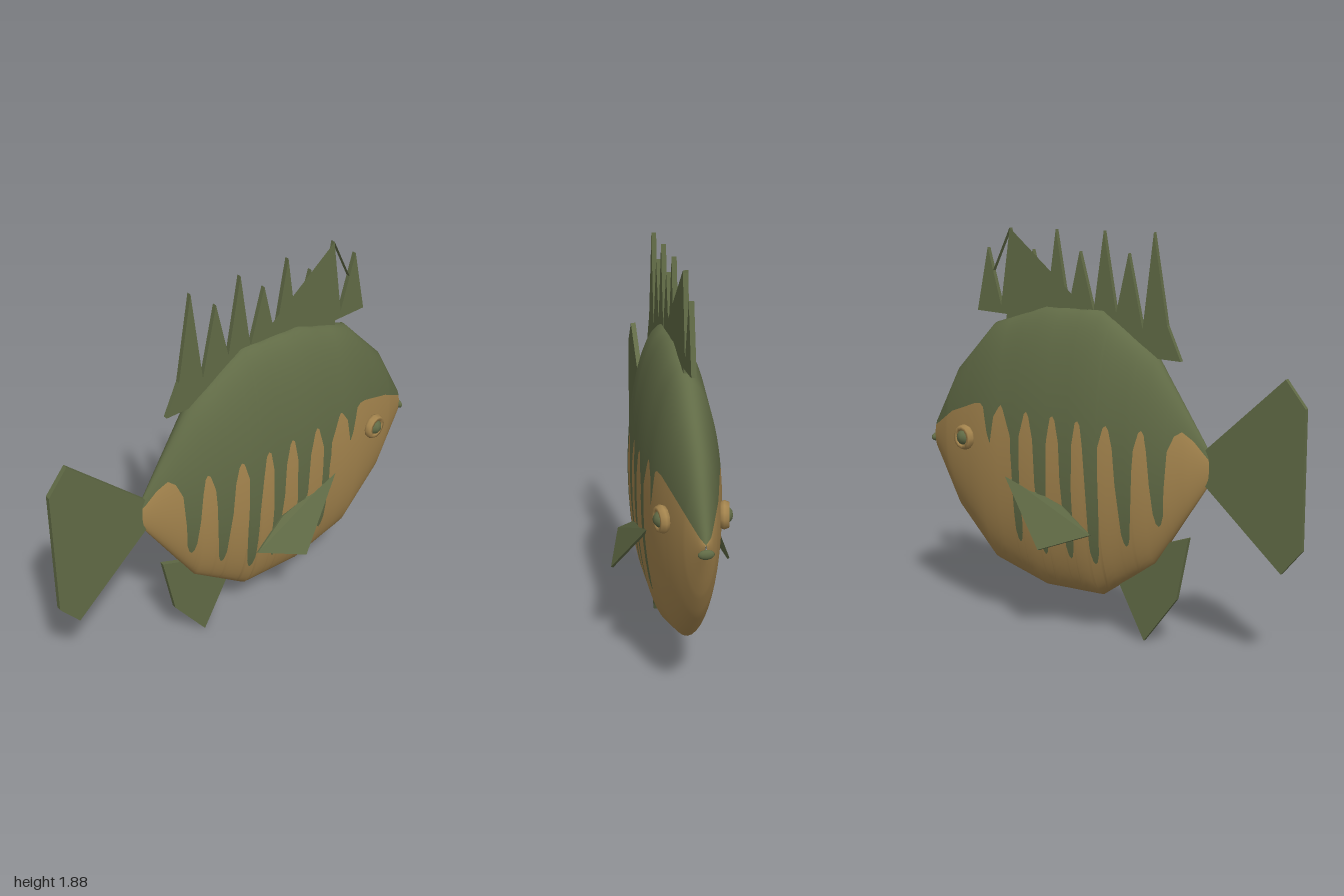
import * as THREE from 'three';

const CY = 0.86; // height of the body axis

// Body stations: z, half width, half height
const STATIONS = [
  [-0.98, 0.004, 0.02], [-0.97, 0.028, 0.075], [-0.82, 0.09, 0.35], [-0.6, 0.147, 0.58],
  [-0.31, 0.172, 0.67], [0, 0.168, 0.67], [0.28, 0.12, 0.475], [0.545, 0.016, 0.075], [0.558, 0.003, 0.03],
];

// Green stripes: z, lowest y, half width at the top; then the tan peak in front of each
const STRIPES = [
  [0.33, 0.58, 0.043, 0.262, 1.02], [0.177, 0.47, 0.05, 0.095, 1.03], [0.02, 0.365, 0.038, -0.045, 1.04],
  [-0.11, 0.375, 0.036, -0.18, 1.05], [-0.25, 0.375, 0.038, -0.325, 1.055], [-0.395, 0.415, 0.026, -0.48, 1.07],
];

function lerpTable(table, z, col) {
  if (z <= table[0][0]) return table[0][col];
  for (let i = 1; i < table.length; i++) {
    const p = table[i - 1], q = table[i];
    if (z <= q[0]) return p[col] + (q[col] - p[col]) * (z - p[0]) / (q[0] - p[0]);
  }
  return table[table.length - 1][col];
}

// Line between the green back and the tan belly, as z, y
function colourLine() {
  const line = [[0.558, 0.89], [0.53, 0.92], [0.48, 0.98], [0.43, 1.02], [0.4, 1.0]];
  for (const [z, low, w, peakZ, peakY] of STRIPES) {
    line.push([z + w, 0.93], [z + 0.021, low + 0.05], [z + 0.01, low + 0.01], [z, low],
      [z - 0.01, low + 0.015], [z - 0.019, low + 0.06], [z - w, 0.93],
      [peakZ + 0.013, peakY - 0.02], [peakZ, peakY], [peakZ - 0.013, peakY - 0.01]);
  }
  line.push([-0.525, 1.01], [-0.546, 0.88], [-0.565, 0.93], [-0.59, 1.05], [-0.61, 1.065], [-0.65, 1.06],
    [-0.82, 1.0], [-0.98, 0.9]);
  return line.reverse();
}

// A band of the body skin between two angles that depend on z
function skin(columns, range, rows) {
  const pos = [], nor = [], idx = [];
  const n = new THREE.Vector3();
  columns.forEach((z, i) => {
    const a = lerpTable(STATIONS, z, 1), b = lerpTable(STATIONS, z, 2);
    const z0 = Math.max(-0.98, z - 0.1), z1 = Math.min(0.558, z + 0.1);
    const da = (lerpTable(STATIONS, z1, 1) - lerpTable(STATIONS, z0, 1)) / (z1 - z0);
    const db = (lerpTable(STATIONS, z1, 2) - lerpTable(STATIONS, z0, 2)) / (z1 - z0);
    const [from, to] = range(z, b);
    for (let j = 0; j <= rows; j++) {
      const t = from + (to - from) * j / rows, c = Math.cos(t), s = Math.sin(t);
      pos.push(a * c, CY + b * s, z);
      n.set(c / a, s / b, -(c * c * da / a + s * s * db / b)).normalize();
      nor.push(n.x, n.y, n.z);
      if (i > 0 && j > 0) {
        const q = i * (rows + 1) + j, p = q - rows - 1;
        idx.push(p - 1, p, q - 1, p, q, q - 1);
      }
    }
  });
  const g = new THREE.BufferGeometry();
  g.setAttribute('position', new THREE.Float32BufferAttribute(pos, 3));
  g.setAttribute('normal', new THREE.Float32BufferAttribute(nor, 3));
  g.setIndex(idx);
  return g;
}

// Flat upright fin from an outline of z, y points
function uprightFin(points, thickness) {
  const shape = new THREE.Shape(points.map(([z, y]) => new THREE.Vector2(z, y)));
  return new THREE.ExtrudeGeometry(shape, { depth: thickness, bevelEnabled: false })
    .translate(0, 0, -thickness / 2).rotateY(-Math.PI / 2);
}

// Thin four-cornered side fin, given for side +1 and mirrored for -1
function sideFin(side) {
  const corners = [[0.145, 0.745, -0.47], [0.163, 0.635, -0.13], [0.205, 0.53, 0.05], [0.272, 0.442, -0.19]];
  const pos = [];
  for (const d of [0.005, -0.005]) for (const [x, y, z] of corners) pos.push(side * (x + d), y + d * 0.4, z);
  const idx = [0, 2, 1, 0, 3, 2, 4, 5, 6, 4, 6, 7];
  for (let i = 0; i < 4; i++) {
    const j = (i + 1) % 4;
    idx.push(i, j, i + 4, j, j + 4, i + 4);
  }
  const g = new THREE.BufferGeometry();
  g.setAttribute('position', new THREE.Float32BufferAttribute(pos, 3));
  g.setIndex(idx);
  const flat = g.toNonIndexed();
  flat.computeVertexNormals();
  // Turn the corners round where needed so every face points outward
  const p = flat.attributes.position, centre = new THREE.Vector3();
  for (const [x, y, z] of corners) centre.add(new THREE.Vector3(side * x, y, z).multiplyScalar(0.25));
  const v = [0, 1, 2].map(() => new THREE.Vector3()), m = new THREE.Vector3(), n = new THREE.Vector3();
  for (let i = 0; i < p.count; i += 3) {
    v.forEach((c, k) => c.fromBufferAttribute(p, i + k));
    m.copy(v[0]).add(v[1]).add(v[2]).divideScalar(3).sub(centre);
    n.copy(v[1]).sub(v[0]).cross(v[2].clone().sub(v[0]));
    if (n.dot(m) < 0) {
      p.setXYZ(i + 1, v[2].x, v[2].y, v[2].z);
      p.setXYZ(i + 2, v[1].x, v[1].y, v[1].z);
    }
  }
  flat.computeVertexNormals();
  return flat;
}

export function createModel() {
  const group = new THREE.Group();
  const green = new THREE.MeshStandardMaterial({ color: 0x616b46 });
  green.name = 'olive green';
  const tan = new THREE.MeshStandardMaterial({ color: 0xa5854e });
  tan.name = 'golden tan';

  const add = (name, geometry, material, parent = group) => {
    const mesh = new THREE.Mesh(geometry, material);
    mesh.name = name;
    parent.add(mesh);
    return mesh;
  };

  // Body, split along the wavy colour line
  const line = colourLine();
  const zs = [...STATIONS.map((s) => s[0]), ...line.map((p) => p[0])];
  for (let z = -0.96; z < 0.55; z += 0.02) zs.push(z);
  const columns = zs.sort((p, q) => p - q).filter((z, i, all) => i === 0 || z - all[i - 1] > 1e-4);
  const edge = (z, b) => Math.asin(THREE.MathUtils.clamp((lerpTable(line, z, 1) - CY) / b, -1, 1));
  add('back', skin(columns, (z, b) => [edge(z, b), Math.PI - edge(z, b)], 28), green);
  add('belly', skin(columns, (z, b) => [-Math.PI - edge(z, b), edge(z, b)], 28), tan);

  // Spiny top fin: alternating tall and short spikes
  const top = [[0.4, 1.325], [0.33, 1.48], [0.26, 1.885], [0.205, 1.455]];
  for (let i = 1; i <= 4; i++) {
    const z = 0.26 - i * 0.258;
    top.push([z + 0.129, 1.79], [z + 0.065, i === 4 ? 1.49 : 1.52], [z, 1.885]);
    if (i < 4) top.push([z - 0.055, 1.52]);
  }
  top[top.length - 1][0] = -0.515;
  top.push([-0.54, 1.43], [-0.3, 1.45], [0, 1.45], [0.27, 1.33]);
  add('topFin', uprightFin(top, 0.022), green);

  // Tail and lower fins
  add('tailFin', uprightFin([[0.5, 0.86], [0.53, 0.78], [0.905, 0.435], [1, 0.55], [1, 1.17], [0.905, 1.29],
    [0.53, 0.945]], 0.024), green);
  add('lowerFin', uprightFin([[0.45, 0.53], [0.39, 0.23], [0.22, 0.003], [0.08, 0.27], [0.12, 0.4],
    [0.28, 0.47]], 0.022), green);

  // Paired fins and eyes
  for (const side of [1, -1]) {
    const label = side > 0 ? 'left' : 'right';
    add(label + 'SideFin', sideFin(side), green);

    const eye = new THREE.Group();
    eye.name = label + 'Eye';
    eye.position.set(side * 0.132, 0.89, -0.71);
    eye.rotation.y = side * (Math.PI / 2 + 0.2);
    group.add(eye);
    add('eyeRing', new THREE.TorusGeometry(0.046, 0.016, 6, 12), tan, eye).scale.z = 1.5;
    add('pupil', new THREE.SphereGeometry(0.038, 10, 8), green, eye);
  }

  // Mouth
  const mouth = add('mouth', new THREE.SphereGeometry(1, 12, 8), green);
  mouth.scale.set(0.035, 0.021, 0.014);
  mouth.position.set(0, 0.842, -0.986);
  return group;
}
